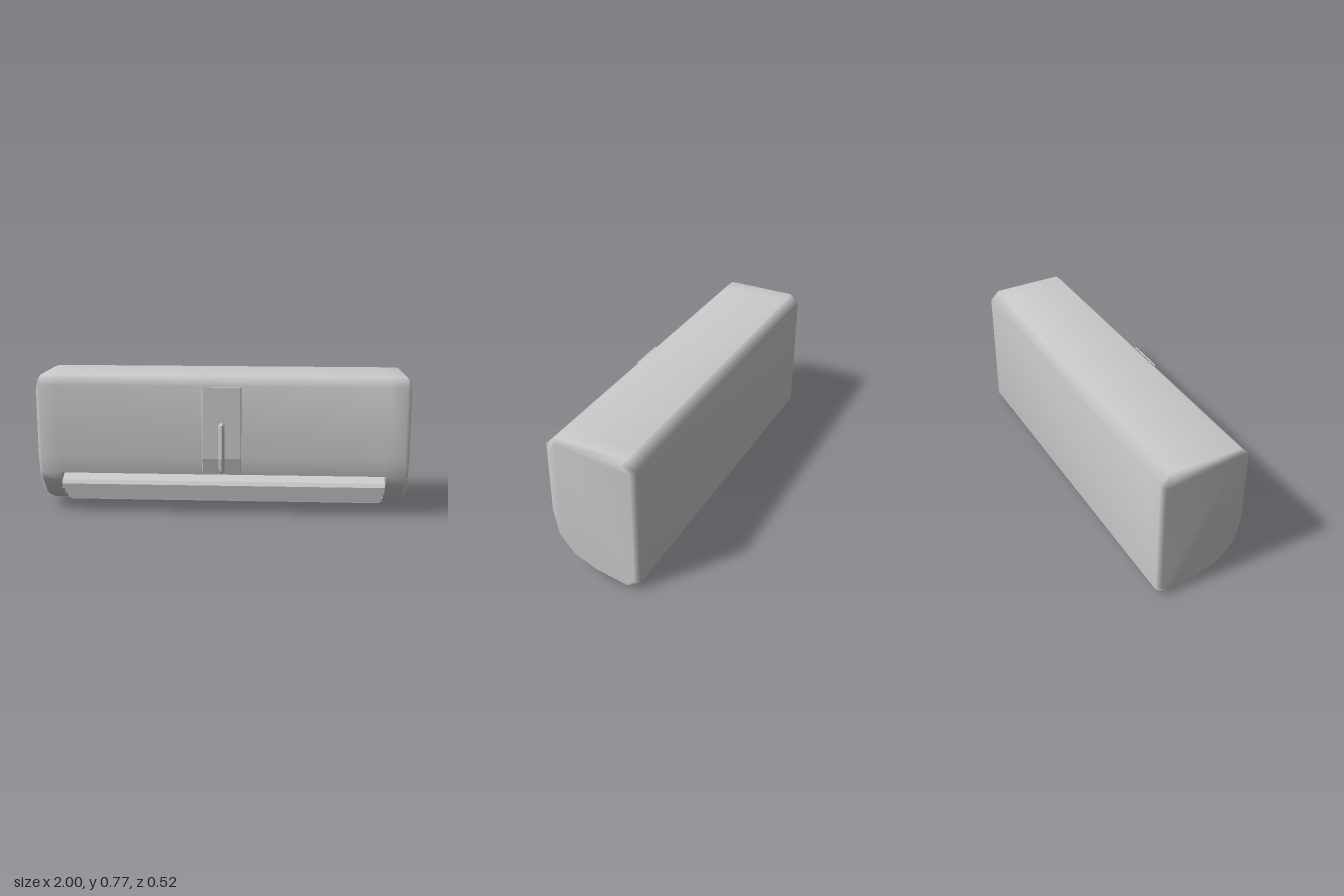
import * as THREE from 'three';

const material = new THREE.MeshStandardMaterial({ color: 0xcccccc, side: THREE.DoubleSide });

// Side profile as [z, y], from the top front edge down, under and up the back.
// Points FRONT_LIP to REAR_LIP bound the air outlet.
const profile = [
  [0.18, 0.77], [0.23, 0.72], [0.23, 0.33], [0.21, 0.235], [0.2, 0.19], [0.11, 0.09],
  [-0.02, 0.035], [-0.08, 0.025], [-0.21, 0.003], [-0.26, 0.045], [-0.26, 0.72], [-0.21, 0.77],
];
const FRONT_LIP = 3, REAR_LIP = 7, OUTLET_X = 0.88;
const liner = [[-0.08, 0.13], [0.04, 0.225]];

const toShape = (points) => new THREE.Shape(points.map(([z, y]) => new THREE.Vector2(z, y)));

function addMesh(group, name, geometry) {
  const mesh = new THREE.Mesh(geometry, material);
  mesh.name = name;
  group.add(mesh);
  return mesh;
}

// Extrude a [z, y] section along x, centred on x = 0
function bar(points, width, bevel = 0) {
  const depth = width - 2 * bevel;
  const geometry = new THREE.ExtrudeGeometry(toShape(points), {
    depth, bevelEnabled: bevel > 0, bevelSize: bevel, bevelThickness: bevel,
    bevelOffset: -bevel, bevelSegments: 1,
  });
  return geometry.translate(0, 0, -depth / 2).rotateY(-Math.PI / 2);
}

// Casing: rings of the profile along x, inset at the ends, with the outlet left open
function casingGeometry() {
  const rings = [[-1, 1], [-0.976, 0], [-OUTLET_X, 0], [OUTLET_X, 0], [0.976, 0], [1, 1]];
  const n = profile.length, positions = [], index = [];
  for (const [x, inset] of rings) {
    for (const [z, y] of profile) {
      const kz = inset ? 0.91 : 1, ky = inset ? 0.94 : 1;
      positions.push(x, 0.386 + (y - 0.386) * ky, -0.015 + (z + 0.015) * kz);
    }
  }
  for (let i = 0; i < rings.length - 1; i++) {
    for (let j = 0; j < n; j++) {
      if (i === 2 && j >= FRONT_LIP && j < REAR_LIP) continue;
      const a = i * n + j, b = i * n + (j + 1) % n;
      index.push(a, b, b + n, a, b + n, a + n);
    }
  }
  const last = (rings.length - 1) * n;
  for (let j = 1; j < n - 1; j++) {
    index.push(0, j + 1, j, last, last + j, last + j + 1);
  }
  const geometry = new THREE.BufferGeometry();
  geometry.setAttribute('position', new THREE.Float32BufferAttribute(positions, 3));
  geometry.setIndex(index);
  geometry.computeVertexNormals();
  return geometry;
}

// Inner wall of the outlet, folded from flat strips
function linerGeometry() {
  const path = [profile[REAR_LIP], ...liner, profile[FRONT_LIP]];
  const positions = [];
  for (let i = 0; i < path.length - 1; i++) {
    const [[z0, y0], [z1, y1]] = [path[i], path[i + 1]];
    const X = OUTLET_X;
    positions.push(-X, y0, z0, X, y0, z0, X, y1, z1, -X, y0, z0, X, y1, z1, -X, y1, z1);
  }
  const geometry = new THREE.BufferGeometry();
  geometry.setAttribute('position', new THREE.Float32BufferAttribute(positions, 3));
  geometry.computeVertexNormals();
  return geometry;
}

export function createModel() {
  const group = new THREE.Group();
  group.name = 'wallAirConditioner';

  addMesh(group, 'casing', casingGeometry());

  // Outlet recess
  addMesh(group, 'outletLiner', linerGeometry());
  const cheek = [...profile.slice(FRONT_LIP, REAR_LIP + 1), ...liner];
  for (const side of [-1, 1]) {
    const geometry = new THREE.ShapeGeometry(toShape(cheek)).rotateY(-Math.PI / 2);
    addMesh(group, side > 0 ? 'leftOutletCheek' : 'rightOutletCheek', geometry)
      .position.x = side * OUTLET_X;
  }

  // Louvre slats, placed by their lower front tips
  const slat = [[0, 0], [0.004, 0.028], [-0.01, 0.048], [-0.09, 0.09], [-0.1, 0.07], [-0.03, 0.017]];
  const tips = [[0.196, 0.142], [0.135, 0.1], [0.07, 0.055], [-0.008, 0.026]];
  tips.forEach(([z, y], i) => {
    const reach = i === 3 ? 0.6 : 1;
    const points = slat.map(([dz, dy]) => [z + dz * reach, y + dy]);
    addMesh(group, 'louvreSlat' + (i + 1), bar(points, 2 * OUTLET_X - 0.004));
  });

  // Raised front panel, bent to follow the casing
  addMesh(group, 'frontPanel', bar([
    [0.2, 0.715], [0.243, 0.715], [0.243, 0.33], [0.222, 0.243], [0.19, 0.243],
  ], 0.21, 0.004));

  // Slim ridge on the panel
  addMesh(group, 'panelRidge', bar([
    [0.215, 0.525], [0.25, 0.525], [0.261, 0.513], [0.261, 0.33], [0.242, 0.257],
    [0.23, 0.25], [0.2, 0.25],
  ], 0.03, 0.01));

  return group;
}
